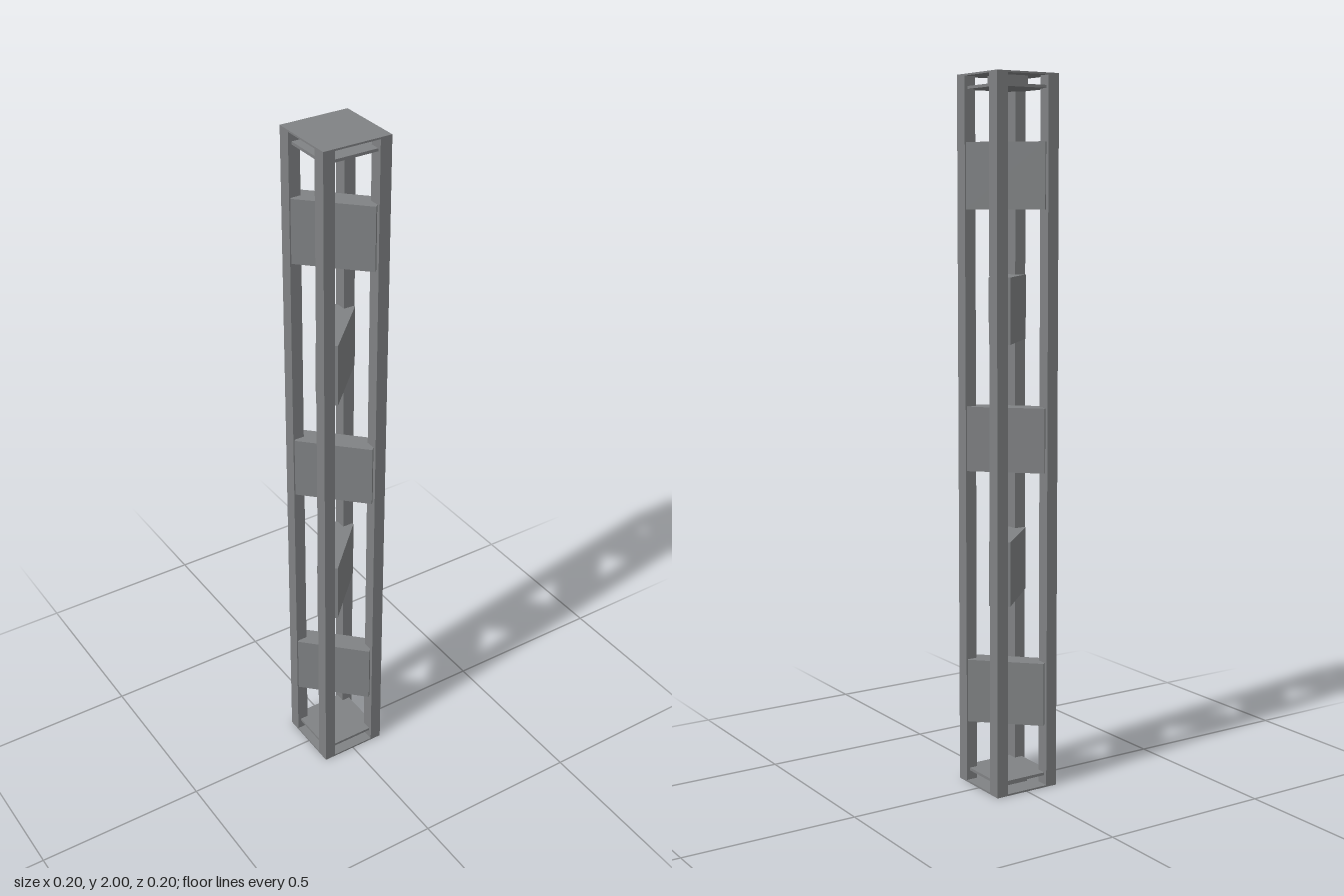
import * as THREE from 'three';

export function createModel() {
  const group = new THREE.Group();
  const steel = new THREE.MeshStandardMaterial({ color: 0x808284 });
  steel.name = 'greySteel';

  const box = (name, w, h, d, x, y, z, turn = 0) => {
    const mesh = new THREE.Mesh(new THREE.BoxGeometry(w, h, d), steel);
    mesh.name = name;
    mesh.position.set(x, y, z);
    mesh.rotation.y = turn;
    group.add(mesh);
  };

  // Four corner posts, running between the end plates
  const postW = 0.034, postD = 0.039, plate = 0.005;
  for (const sx of [-1, 1]) {
    for (const sz of [-1, 1]) {
      box('cornerPost', postW, 2 - 2 * plate, postD,
        sx * (0.1 - postW / 2), 1, sz * (0.1 - postD / 2));
    }
  }

  // Each end: outer plate, spacer block and inner plate
  for (const s of [-1, 1]) {
    box('endPlate', 0.2, plate, 0.2, 0, 1 + s * (1 - plate / 2), 0);
    box('endSpacer', 0.08, 0.028, 0.08, 0, 1 + s * 0.981, 0);
    box('innerPlate', 0.18, 0.008, 0.18, 0, 1 + s * 0.964, 0);
  }

  // Diagonal braces, alternating between the two pairs of opposite posts
  const bay = 2 / 11;
  for (let i = 0; i < 5; i++) {
    const turn = (i % 2 ? 1 : -1) * Math.PI / 4;
    box('diagonalBrace', 0.22, bay, 0.06, 0, bay * (1.5 + 2 * i), 0, turn);
  }
  return group;
}
